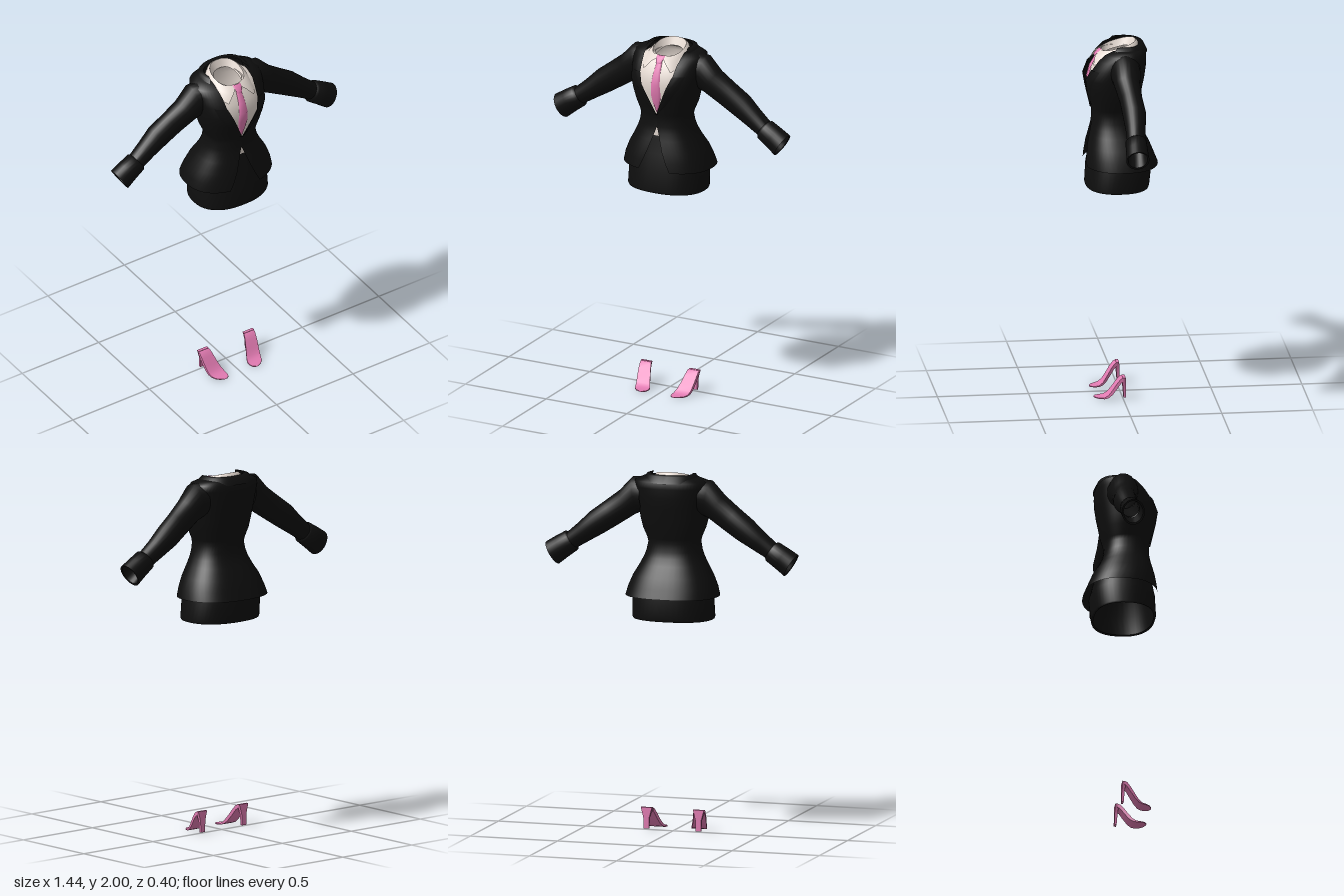
import * as THREE from 'three';
import { toCreasedNormals } from 'three/addons/utils/BufferGeometryUtils.js';

const flat = (name, color) => {
  const m = new THREE.MeshStandardMaterial({ color, side: THREE.DoubleSide });
  m.name = name;
  return m;
};

// Skin a list of equally long point rows; "closed" joins each row into a ring
function loft(rows, closed, crease = 0) {
  const n = rows[0].length, index = [];
  for (let i = 0; i < rows.length - 1; i++) {
    for (let j = 0; j < (closed ? n : n - 1); j++) {
      const k = (j + 1) % n, a = i * n, b = a + n;
      index.push(a + j, a + k, b + k, a + j, b + k, b + j);
    }
  }
  const g = new THREE.BufferGeometry();
  g.setAttribute('position', new THREE.Float32BufferAttribute(rows.flat(2), 3));
  g.setIndex(index);
  g.computeVertexNormals();
  return crease ? toCreasedNormals(g, crease) : g;
}

// Rounded body section: half width, front z, back z, half width of the front opening
const POW = 0.85;
const soft = (v) => Math.sign(v) * Math.abs(v) ** POW;
function section([y, w, zf, zb, open = 0], closed, lift = () => 0, n = 48) {
  const a0 = Math.asin(Math.min(1, (open / w) ** (1 / POW)));
  const pts = [];
  for (let i = 0; i < n; i++) {
    const a = a0 + (2 * Math.PI - 2 * a0) * (i / (closed ? n : n - 1));
    const z = (zf + zb) / 2 + (zf - zb) / 2 * soft(Math.cos(a));
    pts.push([w * soft(Math.sin(a)), y + lift(z, Math.cos(a)), z]);
  }
  return pts;
}

// Jacket profile: y, half width, front z, back z, opening
const JACKET = [
  [1.31, .258, .20, -.205, .095], [1.36, .245, .195, -.185, .07], [1.42, .22, .185, -.16, .045],
  [1.48, .185, .17, -.125, .025], [1.52, .165, .16, -.105, .012], [1.555, .152, .155, -.095, 0],
  [1.60, .143, .155, -.09, 0], [1.625, .148, .158, -.095, 0], [1.68, .172, .17, -.11, .025],
  [1.74, .187, .185, -.12, .05], [1.80, .197, .198, -.132, .077], [1.86, .203, .175, -.14, .10],
  [1.91, .207, .14, -.142, .105], [1.945, .205, .105, -.14, .112],
  [1.965, .16, .07, -.125, .112], [1.975, .115, .04, -.1, .112],
];
const SHIRT = [
  [1.49, .15, .146, -.09], [1.555, .14, .146, -.085], [1.60, .132, .146, -.08], [1.68, .16, .155, -.10],
  [1.74, .175, .165, -.11], [1.80, .185, .17, -.12], [1.86, .185, .155, -.125], [1.91, .17, .125, -.12],
  [1.94, .13, .105, -.10], [1.95, .07, .098, -.065],
];
const SKIRT = [
  [1.185, .212, .178, -.145], [1.18, .222, .188, -.155], [1.19, .226, .191, -.158], [1.30, .222, .185, -.17],
  [1.40, .195, .165, -.145], [1.48, .165, .152, -.105], [1.50, .155, .148, -.095],
];

// Sleeve and cuff stations: x, y, in-plane radius, depth radius, z, lean
const SLEEVE = [
  [.165, 1.862, .095, .085, -.01, .05], [.205, 1.855, .10, .08, -.01, .2], [.255, 1.81, .078, .07, -.012, .64],
  [.34, 1.75, .074, .062, -.022, .62], [.423, 1.693, .07, .064, -.03, .64], [.50, 1.635, .058, .055, -.027, .64],
  [.57, 1.585, .05, .05, -.022, .62],
];
const CUFF = [
  [.565, 1.588, .048, .048, -.02, .6], [.575, 1.581, .062, .058, -.02, .6], [.63, 1.545, .066, .06, -.019, .57],
  [.683, 1.508, .07, .063, -.018, .55], [.681, 1.51, .06, .053, -.018, .55], [.60, 1.565, .048, .046, -.02, .6],
];
function tube(stations, side, n = 24) {
  return loft(stations.map(([x, y, r, rz, z, lean]) => Array.from({ length: n }, (_, i) => {
    const t = (i / n) * Math.PI * 2, c = r * Math.cos(t);
    return [side * (x + c * Math.sin(lean)), y + c * Math.cos(lean), z + side * rz * Math.sin(t)];
  })), true, 0.8);
}

// Front surface depth of a body row at a given x
function frontZ([, w, zf, zb], x) {
  const s = Math.min(1, (x / w) ** (1 / POW));
  return (zf + zb) / 2 + (zf - zb) / 2 * Math.sqrt(1 - s * s) ** POW;
}

export function createModel() {
  const model = new THREE.Group();
  model.name = 'suitOutfit';
  const black = flat('black cloth', 0x0e0e0e);
  const cream = flat('cream cloth', 0xe4d9d1);
  const pink = flat('pink', 0xe27bb2);
  const add = (name, geometry, material, parent = model) => {
    const m = new THREE.Mesh(geometry, material);
    m.name = name;
    parent.add(m);
  };

  // Clothes on the torso
  add('jacketBody', loft(JACKET.map((r) => section(r, false)), false), black);
  add('skirt', loft(SKIRT.map((r) => section(r, true)), true), black);
  add('shirt', loft(SHIRT.map((r) => section(r, true)), true), cream);

  // Jacket collar, lower at the back
  const drop = [0, .005, .03];
  add('jacketCollar', loft([
    [1.972, .15, .09, -.148, .13], [1.985, .135, .07, -.13, .118], [1.984, .114, .05, -.1, .111],
  ].map((r, i) => section(r, false, (z, c) => -drop[2 - i] * (1 - c) / 2)), false), black);

  // Shirt collar: inner stand, rim and turned-down flaps with points
  const tilt = (z) => -.27 * z;
  add('collarStand', loft([
    [1.977, .086, .104, -.085], [1.937, .068, .10, -.065],
  ].map((r) => section(r, true, tilt)), true), cream);
  add('collarFlaps', loft([
    [1.937, .118, .185, -.105, .082], [1.962, .105, .145, -.098, .04], [1.977, .086, .104, -.085, .004],
  ].map((r, i) => section(r, false, (z, c) => tilt(z) - (i === 0 ? .022 * Math.max(0, c) : 0))), false), cream);

  // Tie: knot and blade, gently ridged along the middle
  const strip = (pts) => loft(pts.map(([y, w, z]) =>
    [[-w, y, z - .009], [-w * .6, y, z - .001], [w * .6, y, z - .001], [w, y, z - .009]]), false);
  add('tieKnot', strip([[1.915, .016, .143], [1.925, .019, .14], [1.945, .025, .122], [1.953, .022, .108]]), pink);
  add('tieBlade', strip([
    [1.64, .004, .158], [1.69, .022, .169], [1.74, .03, .178], [1.80, .027, .183], [1.86, .021, .167], [1.925, .015, .13],
  ]), pink);

  for (const side of [1, -1]) {
    const tag = side > 0 ? 'left' : 'right';
    add(tag + 'Sleeve', tube(SLEEVE, side), black);
    add(tag + 'Cuff', tube(CUFF, side), black);

    // Lapel lying just over the jacket front
    const widths = [.004, .03, .05, .065, .06];
    add(tag + 'Lapel', loft(JACKET.slice(7, 12).map((r, i) => [0, .33, .67, 1].map((t) => {
      const x = r[4] + widths[i] * t;
      return [side * x, r[0], frontZ(r, x) + (t < 1 ? .006 : .002)];
    })), false), black);

    // Shoe: arched sole and narrow heel
    const shoe = new THREE.Group();
    shoe.name = tag + 'Shoe';
    model.add(shoe);
    const sole = [
      [0, .125, .148, .032, .02], [.015, .118, .146, .034, .026], [.035, .092, .141, .037, .03],
      [.06, .053, .133, .04, .026], [.08, .025, .125, .043, .016], [.10, .010, .118, .044, .008],
      [.125, .006, .112, .04, .005], [.145, .006, .106, .027, .005], [.155, .005, .102, .008, .004],
    ].map(([z, y, x, w, t]) => [[w, y], [-w, y], [-w, y - t], [w, y - t]].map(([dx, py]) => [side * x + dx, py, z]));
    add('sole', loft(sole, true, 0.7), pink, shoe);
    const heel = [
      [.008, .001, -.008, -.007], [.008, .015, -.015, -.003], [.07, .017, -.014, .002],
      [.105, .026, -.013, .006], [.125, .032, -.012, .004], [.125, .001, -.005, -.004],
    ].map(([y, w, z0, z1]) => [[-w, z1], [w, z1], [w, z0], [-w, z0]].map(([dx, z]) => [side * .149 + dx, y, z]));
    add('heel', loft(heel, true, 0.7), pink, shoe);
  }
  return model;
}
